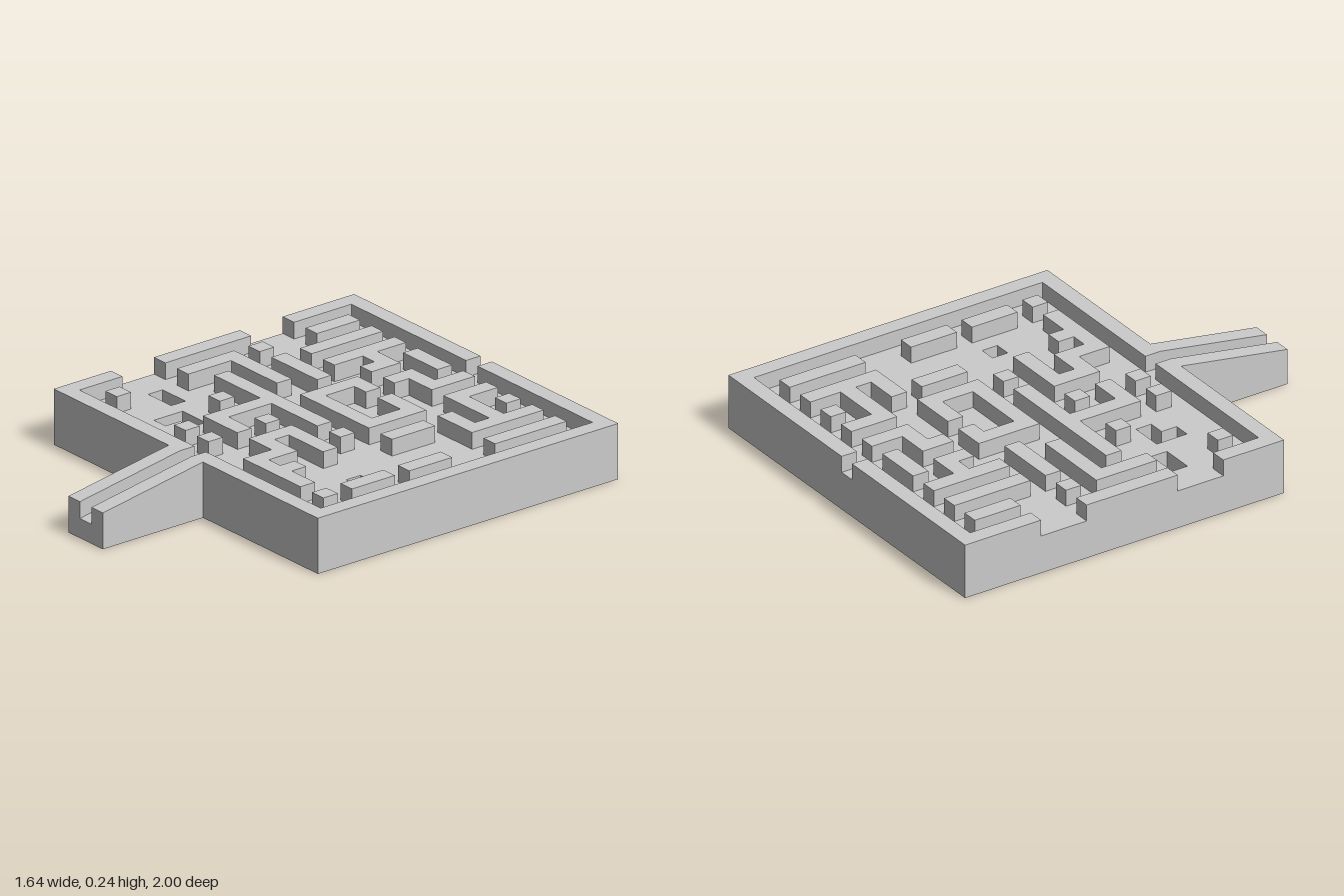
import * as THREE from 'three';

// Plan of the maze, back row first: # wall block, . floor, o open pit, space = outside
const PLAN = [
  '###########.###########',
  '#.....................#',
  '#.#.#.#.###.#.#.#.#.#.#',
  '#.#.#.#.....#.#...#.#.#',
  '#.#.#.###.###.#####.#.#',
  '....#.#.#.#.......#.#.#',
  '....#.#.........###.#.#',
  '.........##.###.......#',
  '#.#.####.#....#.#.....#',
  '#........#....#.#.....#',
  '#.#####..######.#...#.#',
  '#.#.................#.#',
  '#.#.#########.#.....#.#',
  '#.#.....#.............#',
  '......#.#.#.####..o.#.#',
  '..oo....#...#.......#.#',
  '.....oo.###.###.....#.#',
  '#....o........#.#.....#',
  '#.#.....#.#...#####.#.#',
  '#.....................#',
  '###########.###########',
  ...Array(7).fill('          #.#          '),
];
const COLS = 23, ROWS = 28, DECK_ROWS = 21;
const CELL = 2 / ROWS, FLOOR = 0.165, WALL = 0.071, DROP = 0.082;

const cellAt = (r, c) => (PLAN[r] && PLAN[r][c]) || ' ';
const isVoid = (k) => k === ' ' || k === 'o';
const X = (c) => (c - COLS / 2) * CELL;
const Z = (r) => r * CELL - 1;
// floor level along z: flat deck, then a ramp sloping down to the front
const level = (r) => FLOOR - DROP * Math.max(0, (r - DECK_ROWS) / (ROWS - DECK_ROWS));

function quad(list, a, b, c, d) {
  list.push(...a, ...b, ...c, ...a, ...c, ...d);
}

function shell(name, list) {
  const geometry = new THREE.BufferGeometry();
  geometry.setAttribute('position', new THREE.Float32BufferAttribute(list, 3));
  geometry.computeVertexNormals();
  const mesh = new THREE.Mesh(geometry, new THREE.MeshStandardMaterial({
    color: 0xcccccc, flatShading: true, side: THREE.DoubleSide,
  }));
  mesh.name = name;
  return mesh;
}

export function createModel() {
  const parts = { deckFloor: [], mazeWalls: [], outerSkirt: [], pitSides: [], rampFloor: [], rampWalls: [], rampSkirt: [] };

  for (let r = 0; r < ROWS; r++) {
    for (let c = 0; c < COLS; c++) {
      const kind = cellAt(r, c);
      if (isVoid(kind)) continue;
      const ramp = r >= DECK_ROWS;
      const wall = kind === '#';
      const walls = ramp ? parts.rampWalls : parts.mazeWalls;
      const rise = wall ? WALL : 0;

      // top face of the cell
      const top = wall ? walls : ramp ? parts.rampFloor : parts.deckFloor;
      const corner = (dr, dc) => [X(c + dc), level(r + dr) + rise, Z(r + dr)];
      quad(top, corner(0, 0), corner(1, 0), corner(1, 1), corner(0, 1));

      // the four sides: neighbour offset, then edge ends ordered to face outward
      const sides = [
        [1, 0, [1, 0], [1, 1]], [-1, 0, [0, 1], [0, 0]],
        [0, 1, [1, 1], [0, 1]], [0, -1, [0, 0], [1, 0]],
      ];
      for (const [nr, nc, p, q] of sides) {
        const next = cellAt(r + nr, c + nc);
        const point = ([dr, dc], y) => [X(c + dc), y, Z(r + dr)];
        const lp = level(r + p[0]), lq = level(r + q[0]);
        // block side above the floor
        if (wall && next !== '#') {
          quad(walls, point(p, lp), point(q, lq), point(q, lq + WALL), point(p, lp + WALL));
        }
        // side below the floor, down to the ground
        if (isVoid(next)) {
          const list = next === 'o' ? parts.pitSides : ramp ? parts.rampSkirt : parts.outerSkirt;
          quad(list, point(p, 0), point(q, 0), point(q, lq), point(p, lp));
        }
      }
    }
  }

  const model = new THREE.Group();
  model.name = 'mazeBoard';
  for (const [name, list] of Object.entries(parts)) model.add(shell(name, list));
  return model;
}
